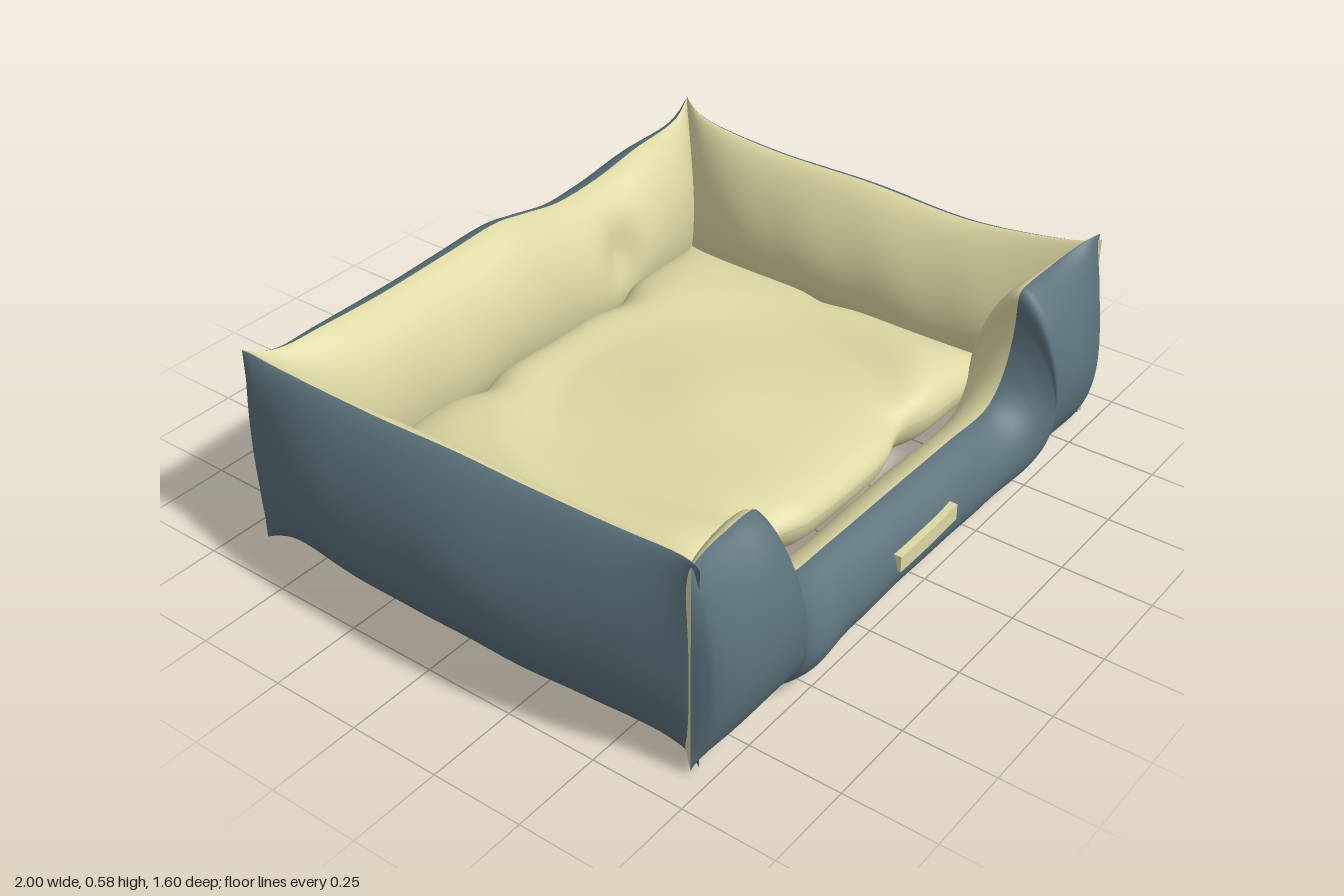
import * as THREE from 'three';

const blue = new THREE.MeshStandardMaterial({ color: 0x5a7079, side: THREE.DoubleSide });
const beige = new THREE.MeshStandardMaterial({ color: 0xdcd7a3, side: THREE.DoubleSide });
const { lerp, clamp, smoothstep } = THREE.MathUtils;

// One fabric panel: fn(s, t, side) with s, t in 0..1 gives [x, y, depth]
function panel(name, material, nu, nv, side, fn) {
  const g = new THREE.PlaneGeometry(1, 1, nu, nv);
  const p = g.attributes.position;
  for (let i = 0; i < p.count; i++) {
    const s = 0.5 + side * p.getX(i);
    const t = 0.5 + 0.5 * Math.sin(Math.PI * p.getY(i)); // finer rows near the seams
    p.setXYZ(i, ...fn(s, t, side));
  }
  g.computeVertexNormals();
  const mesh = new THREE.Mesh(g, material);
  mesh.name = name;
  return mesh;
}

const swell = (u, power, e) => Math.pow(Math.max(0, 1 - Math.pow(Math.abs(u), power)), e);
const bump = (x, c, w) => Math.exp(-(((x - c) / w) ** 2));

// Stuffed wall: blue outside and beige inside, sewn together along its outline
function wall({ name, top, bottom, seam, flare, turn, outer, inner, ends, innerEnds, skew, dent = () => 0 }) {
  const curve = new THREE.CatmullRomCurve3(top.map(([x, y]) => new THREE.Vector3(x, y, 0)));
  curve.arcLengthDivisions = 400;
  const x0 = top[0][0], x1 = top[top.length - 1][0];
  const shape = (s, t, side) => {
    const c = curve.getPointAt(s);
    const u = clamp((2 * (c.x - x0)) / (x1 - x0) - 1, -1, 1);
    const w = 2 * t - 1;
    const belly = w + skew * (1 - w * w); // stuffing settles towards the floor
    const full = side > 0 ? outer(c.x) : inner(c.x);
    const lengthwise = side > 0 ? swell(u, ends, 0.6) : swell(u, innerEnds, 0.75);
    const wrinkle = 1 + 0.02 * Math.sin(c.x * 11 + w * 2) + 0.01 * Math.sin(c.x * 23 - w * 3);
    const depth = full * lengthwise * swell(belly, 2, 0.63) * wrinkle - (side < 0 ? dent(c.x, w) : 0);
    const tip = flare * Math.pow(Math.abs(u), 14); // pulled-out corner tips
    return [c.x, lerp(bottom(u), c.y, t), seam + tip + side * depth];
  };
  const group = new THREE.Group();
  group.name = name;
  group.add(panel(name + 'Outside', blue, 140, 28, 1, shape));
  group.add(panel(name + 'Lining', beige, 140, 28, -1, shape));
  group.rotation.y = turn;
  return group;
}

export function createModel() {
  const bed = new THREE.Group();
  bed.name = 'petBed';

  // Front wall with a low entry notch, fuller at its tall ends
  const frontDepth = (x) => 0.107 + 0.05 * smoothstep(Math.abs(x), 0.3, 0.7);
  bed.add(wall({
    name: 'frontWall', seam: 0.647, flare: 0.055, turn: 0, ends: 9, innerEnds: 6, skew: 0.12,
    top: [[-0.905, 0.575], [-0.84, 0.552], [-0.72, 0.545], [-0.63, 0.545], [-0.598, 0.535], [-0.585, 0.45],
      [-0.56, 0.37], [-0.51, 0.295], [-0.45, 0.262], [-0.3, 0.255], [0, 0.25], [0.25, 0.245], [0.44, 0.243],
      [0.5, 0.285], [0.54, 0.36], [0.557, 0.44], [0.568, 0.535], [0.6, 0.542], [0.72, 0.545], [0.82, 0.56], [0.885, 0.585]],
    bottom: (u) => 0.008 + 0.008 * Math.pow(u, 8) + 0.02 * (bump(u, -0.72, 0.15) + bump(u, 0.72, 0.15)),
    outer: frontDepth, inner: (x) => 0.118 + 0.018 * smoothstep(Math.abs(x), 0.3, 0.7),
  }));

  // Back wall, with a sagging rim and a dent in the lining
  bed.add(wall({
    name: 'backWall', seam: 0.642, flare: 0.03, turn: Math.PI, ends: 5, innerEnds: 5, skew: 0.04,
    top: [[-0.885, 0.59], [-0.8, 0.555], [-0.6, 0.54], [-0.42, 0.515], [-0.25, 0.512], [-0.1, 0.54],
      [0, 0.558], [0.2, 0.552], [0.45, 0.545], [0.65, 0.55], [0.8, 0.555], [0.885, 0.585]],
    bottom: (u) => 0.05 - 0.03 * Math.pow(u, 8) + 0.006 * Math.sin(u * 8),
    outer: () => 0.157, inner: () => 0.15,
    dent: (x, w) => 0.04 * bump(x, -0.38, 0.07) * bump(w, 0.2, 0.4),
  }));

  // Side walls, local x runs along the depth of the bed
  const side = { seam: 0.85, flare: 0.035, ends: 2.5, innerEnds: 3, skew: 0.18, outer: () => 0.148, inner: () => 0.158 };
  bed.add(wall({
    ...side, name: 'leftWall', turn: Math.PI / 2,
    top: [[-0.71, 0.57], [-0.62, 0.555], [-0.33, 0.518], [0, 0.53], [0.3, 0.528], [0.5, 0.543], [0.6, 0.56], [0.672, 0.59]],
    bottom: (u) => 0.07 - 0.045 * Math.pow(Math.abs(u), 5),
  }));
  bed.add(wall({
    ...side, name: 'rightWall', turn: -Math.PI / 2,
    top: [[-0.672, 0.585], [-0.6, 0.555], [-0.3, 0.542], [0, 0.55], [0.2, 0.548], [0.5, 0.555], [0.62, 0.565], [0.71, 0.575]],
    bottom: (u) => 0.055 - 0.035 * Math.pow(Math.abs(u), 5),
  }));

  // Loose cushion: puckered seam, hollow with a raised rim on top, sagging underside
  const cushionShape = (s, t, face) => {
    const a = 2 * s - 1, b = 2 * t - 1;
    const pucker = bump(a, -0.38, 0.1) + bump(a, 0.38, 0.1);
    const x = a * (0.7 + 0.075 * Math.pow(b, 6) - 0.025 * bump(b, 0, 0.12) * Math.pow(a, 4));
    const y = b * (0.513 + 0.06 * Math.pow(a, 8) - 0.035 * pucker * Math.pow(b, 4));
    const puff = swell(a, 6, 0.55) * swell(b, 6, 0.55) * (1 - 0.3 * pucker * Math.pow(b, 4));
    const r = Math.hypot(x, y + 0.12);
    const relief = face > 0
      ? 0.035 * smoothstep(r, 0.42, 0.6) + 0.018 * bump(Math.hypot(x, y + 0.05), 0, 0.17) + 0.025 * bump(x, -0.5, 0.13)
      : 0.012 * Math.sin(x * 9) * Math.sin(y * 8 + 1) - 0.008 * y;
    const wave = 0.008 * Math.sin(x * 8 + 1) * Math.cos(y * 6);
    return [x, y, 0.175 + wave + face * puff * ((face > 0 ? 0.08 : 0.133) + relief)];
  };
  const cushion = new THREE.Group();
  cushion.name = 'cushion';
  cushion.add(panel('cushionTop', beige, 90, 60, 1, cushionShape));
  cushion.add(panel('cushionUnderside', beige, 90, 60, -1, cushionShape));
  cushion.rotation.x = -Math.PI / 2;
  bed.add(cushion);

  // Blank fabric tag on the front wall, gently curved
  const tagGeometry = new THREE.BoxGeometry(0.26, 0.046, 0.03, 16, 1, 1);
  const p = tagGeometry.attributes.position;
  for (let i = 0; i < p.count; i++) p.setY(i, p.getY(i) + 0.2 * p.getX(i) ** 2 + 0.02 * p.getX(i));
  tagGeometry.computeVertexNormals();
  const tag = new THREE.Mesh(tagGeometry, beige);
  tag.name = 'frontTag';
  tag.position.set(-0.013, 0.147, 0.746);
  bed.add(tag);

  return bed;
}
